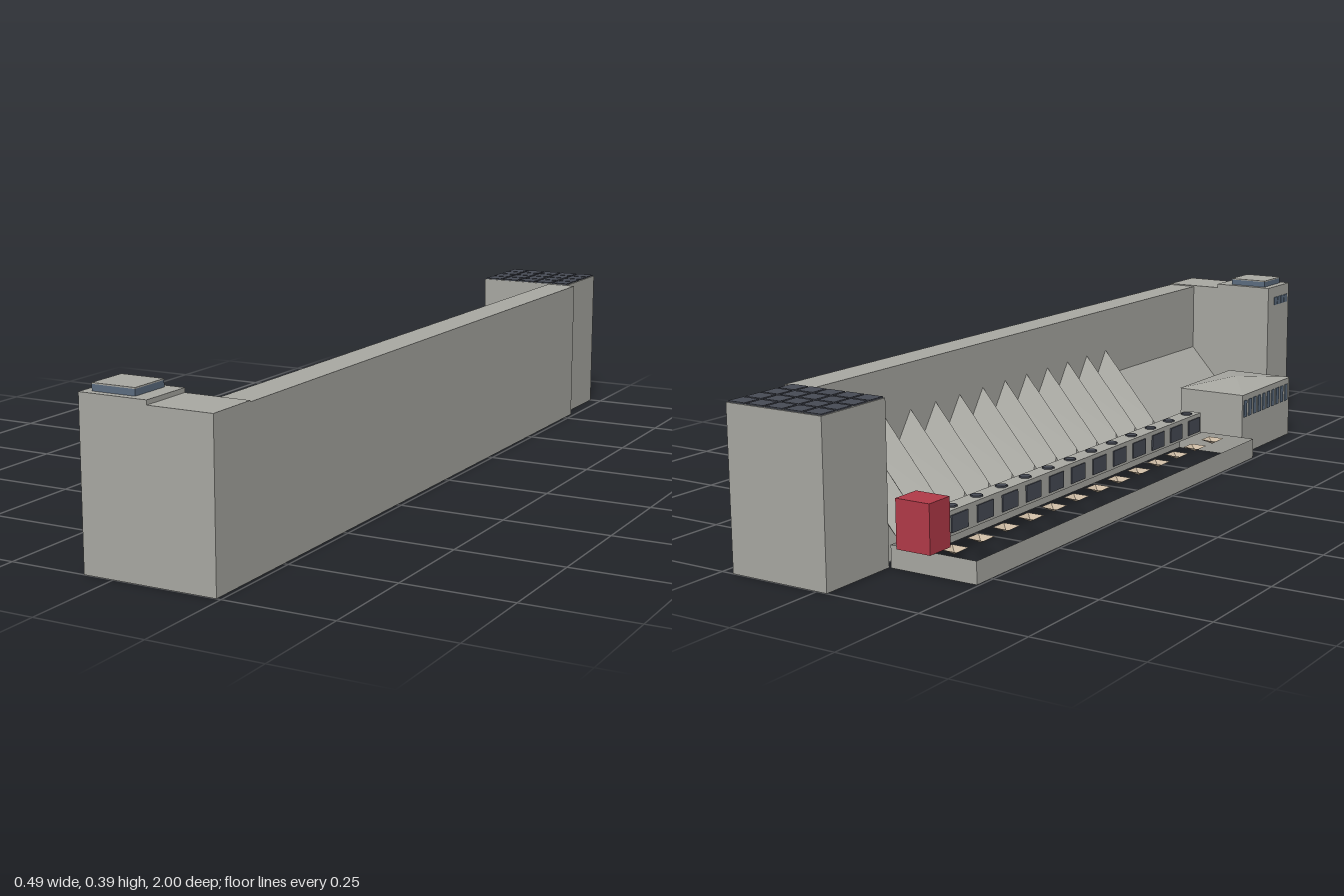
import * as THREE from 'three';

const mat = (name, color, side = THREE.FrontSide) => {
  const m = new THREE.MeshStandardMaterial({ color, side });
  m.name = name;
  return m;
};

export function createModel() {
  const concrete = mat('concrete', 0xa9a9a3);
  const openConcrete = mat('concrete sheet', 0xa9a9a3, THREE.DoubleSide);
  const glass = mat('blue glass', 0x5c6d80);
  const red = mat('crane red', 0xb23a48);
  const dark = mat('dark panel', 0x474b55);
  const sand = mat('sand', 0xc8b7a0, THREE.DoubleSide);

  const model = new THREE.Group();
  model.name = 'dam';

  const add = (name, geometry, material, parent = model) => {
    const mesh = new THREE.Mesh(geometry, material);
    mesh.name = name;
    parent.add(mesh);
    return mesh;
  };
  // Box given by its limits on each axis
  const box = (name, [x0, x1], [y0, y1], [z0, z1], material, parent) => {
    const g = new THREE.BoxGeometry(x1 - x0, y1 - y0, z1 - z0);
    g.translate((x0 + x1) / 2, (y0 + y1) / 2, (z0 + z1) / 2);
    return add(name, g, material, parent);
  };
  // Flat-shaded surface from polygons, each fanned into triangles
  const facets = (name, polygons, material, parent) => {
    const p = [];
    for (const poly of polygons)
      for (let i = 1; i < poly.length - 1; i++) p.push(...poly[0], ...poly[i], ...poly[i + 1]);
    const g = new THREE.BufferGeometry();
    g.setAttribute('position', new THREE.Float32BufferAttribute(p, 3));
    g.computeVertexNormals();
    return add(name, g, material, parent);
  };
  const group = (name) => {
    const g = new THREE.Group();
    g.name = name;
    model.add(g);
    return g;
  };

  // Main wall
  box('damWall', [0.165, 0.24], [0, 0.357], [-0.8, 0.87], concrete);

  // Front tower with a lookout on its roof
  const tower = group('frontTower');
  box('towerHigh', [-0.07, 0.09], [0, 0.37], [0.87, 1], concrete, tower);
  box('towerLow', [0.09, 0.24], [0, 0.36], [0.87, 1], concrete, tower);
  box('lookoutGlass', [-0.05, 0.052], [0.37, 0.384], [0.885, 0.983], glass, tower);
  box('lookoutRoof', [-0.05, 0.052], [0.384, 0.387], [0.885, 0.983], concrete, tower);
  for (let i = 0; i < 4; i++) {
    const z = 0.906 + i * 0.021;
    box('towerWindow', [-0.072, -0.07], [0.318, 0.34], [z, z + 0.018], glass, tower);
  }

  // Back tower with a panelled roof
  const lock = group('backTower');
  box('backTowerBody', [-0.025, 0.22], [0, 0.358], [-1, -0.8], concrete, lock);
  for (let i = 0; i < 5; i++)
    for (let j = 0; j < 4; j++) {
      const x = -0.025 + i * 0.049, z = -1 + j * 0.05;
      box('roofPanel', [x + 0.003, x + 0.046], [0.358, 0.361], [z + 0.003, z + 0.047], dark, lock);
    }

  // Plain sloping face
  const topX = 0.165, topY = 0.183;
  facets('plainSlope', [[[topX, topY, 0.43], [0, 0, 0.43], [0, 0, 0.87], [topX, topY, 0.87]]], openConcrete);

  // Thirteen bays: spillway ridges, gallery openings and outlets
  const bays = 13, pitch = 0.0943, firstZ = -0.75;
  const spillway = group('spillway');
  const gallery = group('gallery');
  const apron = group('apron');
  for (let i = 0; i < bays; i++) {
    const z = firstZ + i * pitch, a = z - pitch / 2, b = z + pitch / 2;
    const peak = [topX, 0.25, z], foot = [0.02, 0.08, z];
    facets('ridge', [
      [[topX, topY, a], [0, 0, a], foot, peak],
      [peak, foot, [0, 0, b], [topX, topY, b]],
      [[0, 0, a], [0, 0, b], foot],
    ], openConcrete, spillway);

    const cap = add('hatch', new THREE.CylinderGeometry(0.014, 0.014, 0.004, 6), dark, gallery);
    cap.position.set(-0.079, 0.107, z);
    box('galleryOpening', [-0.103, -0.1], [0.057, 0.095], [z - 0.03, z + 0.03], dark, gallery);

    // Shallow four-sided outlet funnel
    const r = 0.021, c = [[-r, -r], [-r, r], [r, r], [r, -r]].map(([x, dz]) => [-0.155 + x, 0.049, z + dz]);
    const low = [-0.155, 0.037, z];
    facets('outlet', c.map((p, k) => [p, c[(k + 1) % 4], low]), sand, apron);
  }
  box('galleryBody', [-0.1, -0.057], [0.05, 0.105], [-0.79, 0.42], concrete, gallery);

  // Open rim round the apron
  const rim = [[-0.245, -0.8], [-0.245, 0.435], [-0.03, 0.435], [-0.03, -0.8]];
  facets('apronRim', rim.map(([x, z], k) => {
    const [u, w] = rim[(k + 1) % 4];
    return [[x, 0, z], [u, 0, w], [u, 0.05, w], [x, 0.05, z]];
  }), openConcrete, apron);

  // Crane at the end of the gallery
  box('crane', [-0.145, -0.06], [0.05, 0.158], [-0.82, -0.75], red);

  // Powerhouse with hipped roof and rows of windows
  const house = group('powerhouse');
  box('powerhouseWalls', [-0.205, -0.025], [0, 0.157], [0.45, 0.73], concrete, house);
  const eaves = [[-0.207, 0.448], [-0.207, 0.732], [-0.023, 0.732], [-0.023, 0.448]].map(([x, z]) => [x, 0.157, z]);
  facets('powerhouseRoof', eaves.map((p, k) => [p, eaves[(k + 1) % 4], [-0.115, 0.175, 0.59]]), openConcrete, house);
  for (let i = 0; i < 6; i++) {
    const x = -0.202 + i * 0.027;
    box('frontWindow', [x, x + 0.016], [0.097, 0.141], [0.73, 0.732], glass, house);
  }
  for (let i = 0; i < 10; i++) {
    const z = 0.458 + i * 0.027;
    box('sideWindow', [-0.207, -0.205], [0.097, 0.141], [z, z + 0.016], glass, house);
  }

  return model;
}
